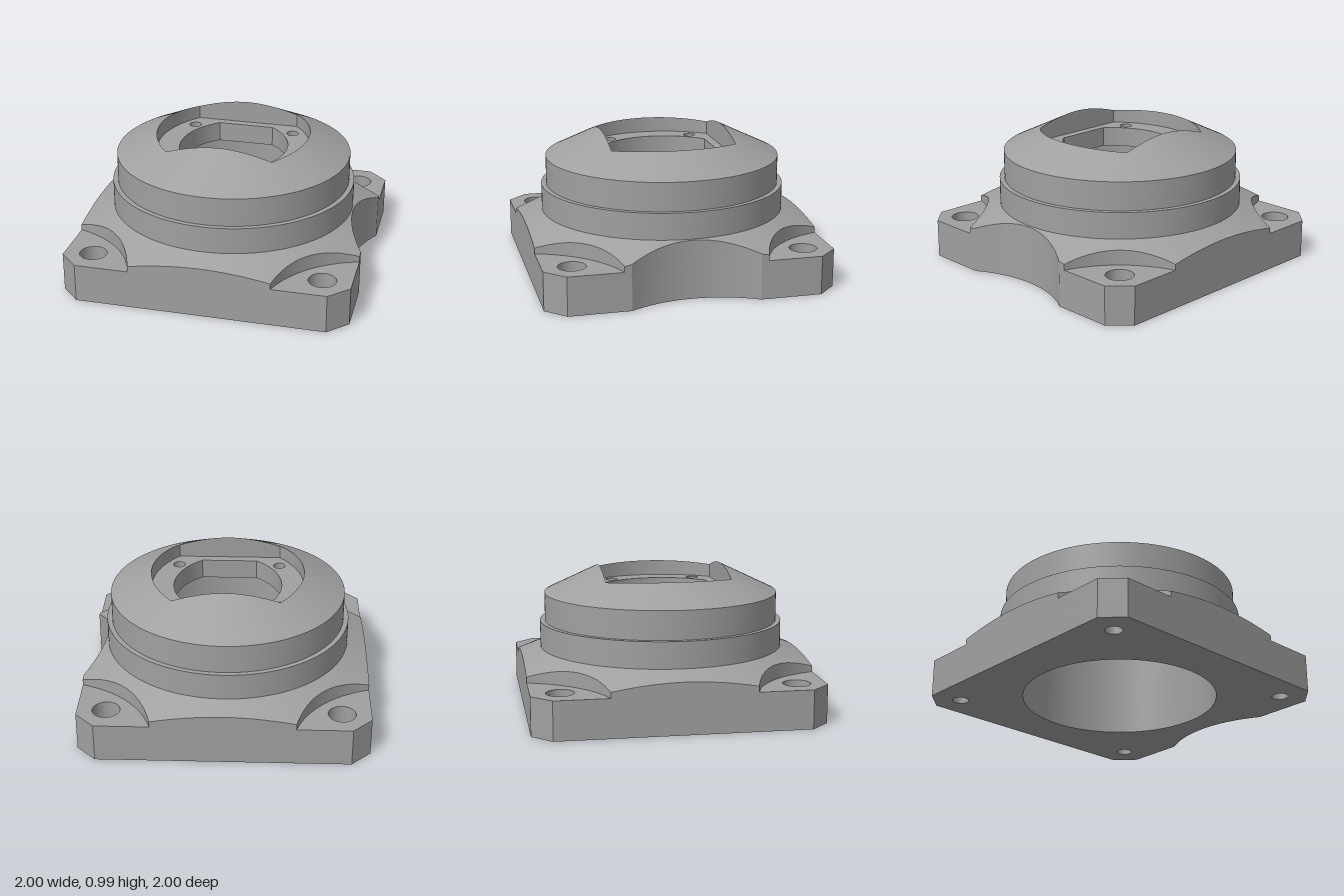
import * as THREE from 'three';
import { toCreasedNormals } from 'three/addons/utils/BufferGeometryUtils.js';

const CREASE = 0.5;
const BORE = 0.683, COLLAR = 0.865, DRUM = 0.83;
const PAD_TOP = 0.27, COUNTERBORE_FLOOR = 0.13, CEILING = 0.69, POCKET = 0.77, SEAT = 0.83;

// radius of an arc from its half chord and sagitta
const arcRadius = (half, sag) => (half * half + sag * sag) / (2 * sag);

// near (-1) or far (+1) distance from the axis to a circle along direction t
function hitCircle(t, cx, cz, r, side) {
  const b = cx * Math.cos(t) + cz * Math.sin(t);
  const d = b * b - cx * cx - cz * cz + r * r;
  return d < 0 || b < 0 && side < 0 ? Infinity : b + side * Math.sqrt(d);
}

// corner pad arc, from (0.49, 1) through (0.68, 0.68) to (1, 0.49)
const padHalf = 0.51 / Math.SQRT2;
const padR = arcRadius(padHalf, (0.745 - 0.68) * Math.SQRT2);
const padC = 0.68 + padR / Math.SQRT2;
// side notch arc on +x
const notchR = arcRadius(0.44, 0.125), notchC = 0.875 + notchR;

// plan outline of the domed block without the corner pads
function blockOutline(t) {
  let r = 1 / Math.max(Math.abs(Math.cos(t)), Math.abs(Math.sin(t)));
  r = Math.min(r, hitCircle(t, notchC, 0, notchR, -1));
  for (const sx of [-1, 1]) for (const sz of [-1, 1])
    r = Math.min(r, hitCircle(t, sx * padC, sz * padC, padR, -1));
  return r;
}

// opening with two flats (z = +-flat) and two bulging ends (x = +-end)
function doubleD(flat, cornerX, end) {
  const R = arcRadius(flat, end - cornerX), c = end - R;
  return t => Math.min(flat / Math.max(Math.abs(Math.sin(t)), 1e-6),
    hitCircle(t, Math.cos(t) < 0 ? -c : c, 0, R, 1));
}
const recess = doubleD(0.44, 0.37, 0.54);
const opening = doubleD(0.377, 0.2, 0.383);

const skirtY = r => 0.415 - 0.42 * (r - COLLAR);
const domeY = r => 0.8 + 0.48 * (DRUM - r);

// sampling angles, including every corner of the outlines
function makeAngles() {
  const list = [];
  for (let i = 0; i < 160; i++) list.push(i / 160 * Math.PI * 2);
  for (const [x, z] of [[1, 0.49], [0.49, 1], [1, 0.44], [0.37, 0.44], [0.2, 0.377]])
    for (const sx of [-1, 1]) for (const sz of [-1, 1])
      list.push((Math.atan2(sz * z, sx * x) + Math.PI * 2) % (Math.PI * 2));
  list.sort((a, b) => a - b);
  return list.filter((a, i) => i === 0 || a - list[i - 1] > 1e-6);
}
const angles = makeAngles();

// sweep a (radius, height) section around the axis
function sweep(section) {
  const pos = [], idx = [];
  const n = section(0).length, m = angles.length;
  for (const t of angles)
    for (const [r, y] of section(t)) pos.push(r * Math.cos(t), y, r * Math.sin(t));
  for (let i = 0; i < m; i++) for (let j = 0; j < n - 1; j++) {
    const a = i * n + j, c = ((i + 1) % m) * n + j;
    idx.push(a, a + 1, c, a + 1, c + 1, c);
  }
  const g = new THREE.BufferGeometry();
  g.setAttribute('position', new THREE.Float32BufferAttribute(pos, 3));
  g.setIndex(idx);
  return toCreasedNormals(g, CREASE);
}

// upright slab from a plan shape
function slab(shape, y0, y1) {
  const g = new THREE.ExtrudeGeometry(shape, { depth: y1 - y0, bevelEnabled: false, curveSegments: 28 });
  g.rotateX(-Math.PI / 2).translate(0, y0, 0);
  return toCreasedNormals(g, CREASE);
}

const roundHole = (x, y, r) => new THREE.Path().absarc(x, y, r, 0, Math.PI * 2, true);
const outlinePoints = fn => angles.map(t => new THREE.Vector2(fn(t) * Math.cos(t), fn(t) * Math.sin(t)));

function padShape(holeRadius) {
  const s = new THREE.Shape();
  s.moveTo(1, 0.49);
  s.lineTo(1, 0.866);
  s.lineTo(0.866, 1);
  s.lineTo(0.49, 1);
  s.absarc(padC, padC, padR, Math.atan2(1 - padC, 0.49 - padC) + Math.PI * 2,
    Math.atan2(0.49 - padC, 1 - padC) + Math.PI * 2, false);
  s.holes.push(roundHole(0.8, 0.8, holeRadius));
  return s;
}

export function createModel() {
  const model = new THREE.Group();
  const metal = new THREE.MeshStandardMaterial({ color: 0xa0a0a0 });
  metal.name = 'grey metal';
  const add = (parent, name, geometry) => {
    const mesh = new THREE.Mesh(geometry, metal);
    mesh.name = name;
    parent.add(mesh);
    return mesh;
  };

  // base skirt: underside, side walls and sloping top
  add(model, 'baseSkirt', sweep(t => {
    const r = blockOutline(t);
    return [[BORE, 0], [r, 0], [r, skirtY(r)], [COLLAR, 0.415]];
  }));

  // stepped collar and drum
  add(model, 'collar', sweep(() => [[COLLAR, 0.415], [COLLAR, 0.6], [DRUM, 0.6], [DRUM, 0.8]]));

  // conical cap with its recess, central opening and bore
  add(model, 'capAndBore', sweep(t => {
    const q = recess(t), h = opening(t);
    return [[DRUM, 0.8], [q, domeY(q)], [q, POCKET], [h, POCKET], [h, CEILING], [BORE, CEILING], [BORE, 0]];
  }));

  // recess floor with four blind holes
  const floor = new THREE.Shape(outlinePoints(recess));
  floor.holes.push(new THREE.Path(outlinePoints(opening).reverse()));
  for (const sx of [-1, 1]) for (const sz of [-1, 1])
    floor.holes.push(roundHole(sx * 0.366, sz * 0.304, 0.043));
  add(model, 'recessFloor', slab(floor, POCKET, SEAT));

  // corner pads with counterbored bolt holes
  const lower = slab(padShape(0.057), 0, COUNTERBORE_FLOOR);
  const upper = slab(padShape(0.095), COUNTERBORE_FLOOR, PAD_TOP);
  for (let i = 0; i < 4; i++) {
    const pad = new THREE.Group();
    pad.name = 'cornerPad' + (i + 1);
    add(pad, 'padLower', lower);
    add(pad, 'padUpper', upper);
    pad.rotation.y = i * Math.PI / 2;
    model.add(pad);
  }
  return model;
}
